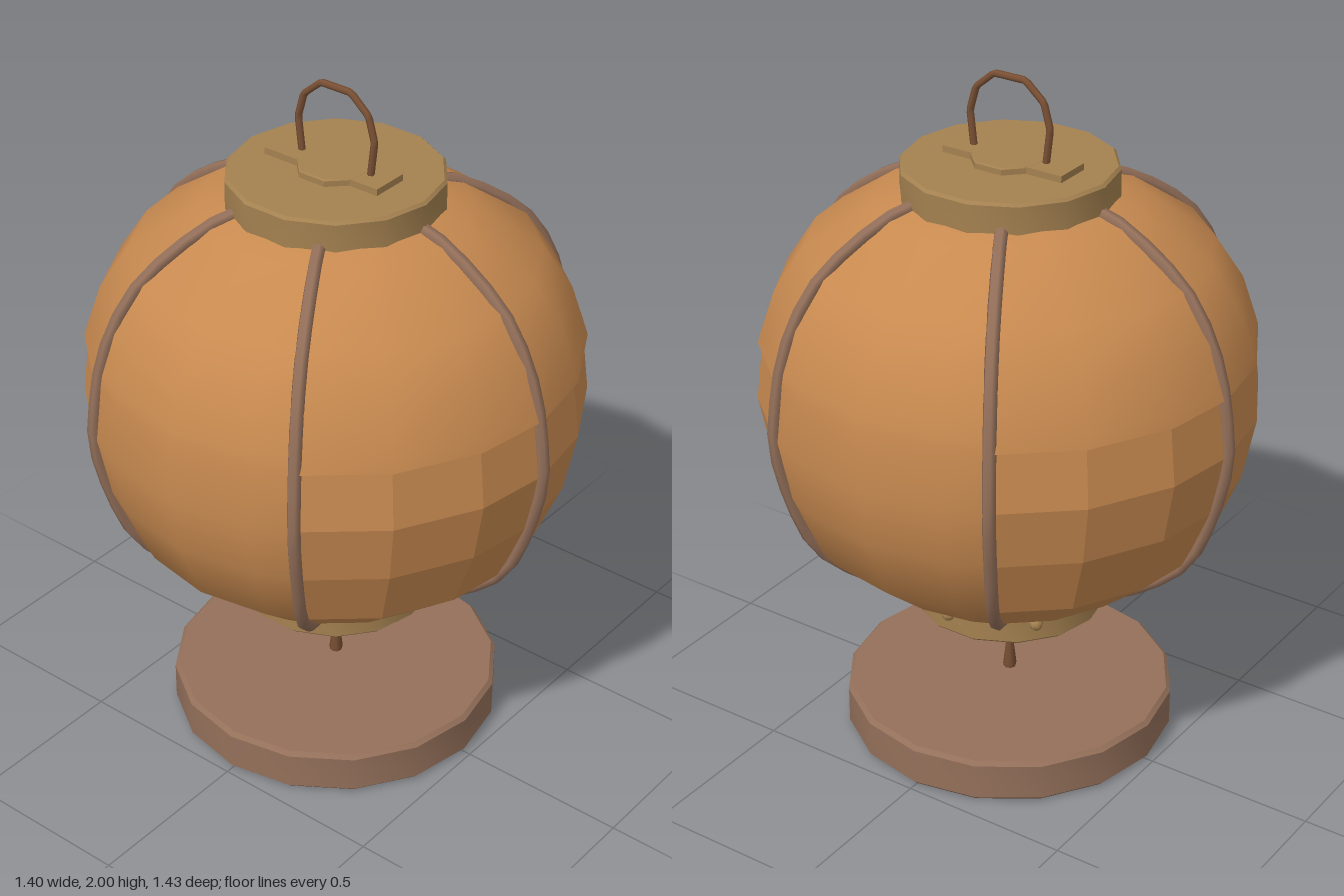
import * as THREE from 'three';
import { toCreasedNormals } from 'three/addons/utils/BufferGeometryUtils.js';

const rad = THREE.MathUtils.degToRad;

export function createModel() {
  const group = new THREE.Group();
  group.name = 'paperLantern';
  const mat = (name, color, side = THREE.FrontSide) => {
    const m = new THREE.MeshStandardMaterial({ color, side });
    m.name = name;
    return m;
  };
  const paper = mat('amber paper', 0xc88a50, THREE.DoubleSide);
  const brass = mat('dull brass', 0xa48150);
  const wood = mat('brown wood', 0x94705a);
  const cord = mat('dark cord', 0x7a5034);

  const add = (name, geo, m, x = 0, y = 0, z = 0) => {
    const mesh = new THREE.Mesh(geo, m);
    mesh.name = name;
    mesh.position.set(x, y, z);
    group.add(mesh);
    return mesh;
  };

  // Disc with a small bevel on both rims
  const disc = (r, y0, y1, sides, b = 0.008) => {
    const pts = [[0, y0], [r - b, y0], [r, y0 + b], [r, y1 - b], [r - b, y1], [0, y1]];
    const geo = new THREE.LatheGeometry(pts.map(p => new THREE.Vector2(...p)), sides);
    return toCreasedNormals(geo, 0.7);
  };

  // Curved sheet: a [radius, height] profile swept through a list of angles
  const sheet = (profile, angles, crease) => {
    const pos = [], idx = [], n = profile.length;
    angles.forEach((deg, i) => {
      const a = rad(deg);
      profile.forEach(([r, y], j) => {
        pos.push(r * Math.cos(a), y, r * Math.sin(a));
        if (i && j) {
          const d = i * n + j, c = d - 1, b = d - n, e = b - 1;
          idx.push(e, b, c, c, b, d);
        }
      });
    });
    const geo = new THREE.BufferGeometry();
    geo.setAttribute('position', new THREE.Float32BufferAttribute(pos, 3));
    geo.setIndex(idx);
    return toCreasedNormals(geo, crease);
  };

  // Globe profile from the collar to the cap
  const lower = [[0.27, 0.48], [0.42, 0.56], [0.585, 0.7], [0.665, 0.89], [0.7, 1.07], [0.68, 1.24]];
  const upper = [[0.675, 1.27], [0.635, 1.39], [0.55, 1.52], [0.36, 1.65], [0.26, 1.68]];
  const whole = [...lower, ...upper];
  const flap = [[0.68, 1.238], [0.692, 1.24], ...upper.map(([r, y]) => [r + 0.008, y])];

  // Plain panels on the sides; quilted panels with an overlapping flap front and back
  for (const start of [-30, 150]) {
    add('sidePanel', sheet(whole, [0, 10, 30, 50, 60].map(a => a + start), 0.8), paper);
  }
  for (const start of [30, 90, 210, 270]) {
    const steps = start % 180 === 30 ? [0, 21, 42, 60] : [0, 18, 39, 60];
    const angles = steps.map(a => a + start);
    add('quiltedPanel', sheet(lower, angles, 0.15), paper);
    add('upperFlap', sheet(flap, angles, 0.8), paper);
  }

  // Six ribs following the globe
  for (let i = 0; i < 6; i++) {
    const a = rad(30 + i * 60);
    const path = new THREE.CatmullRomCurve3(
      whole.map(([r, y]) => new THREE.Vector3(r * Math.cos(a), y, r * Math.sin(a))));
    add('rib', new THREE.TubeGeometry(path, 18, 0.019, 6), wood);
  }

  // Cap with its raised plate
  add('cap', disc(0.3, 1.66, 1.755, 14), brass);
  add('capBoss', disc(0.11, 1.75, 1.775, 8, 0.004), brass).rotation.y = Math.PI / 8;
  add('capPlate', new THREE.BoxGeometry(0.11, 0.022, 0.38), brass, 0, 1.763, -0.01);

  // Wire handle
  const arch = [[0.115, 1.76], [0.128, 1.87], [0.108, 1.94], [0.05, 1.99]];
  const wire = [...arch, ...arch.map(([z, y]) => [-z, y]).reverse()];
  const path = new THREE.CurvePath();
  for (let i = 1; i < wire.length; i++) {
    path.add(new THREE.LineCurve3(
      new THREE.Vector3(0, wire[i - 1][1], wire[i - 1][0]),
      new THREE.Vector3(0, wire[i][1], wire[i][0])));
  }
  add('handle', new THREE.TubeGeometry(path, 42, 0.01, 6), cord);

  // Bottom collar and its rivets
  add('collar', disc(0.28, 0.4, 0.5, 14), brass);
  for (const deg of [45, 5, -50, 185, 230, 270]) {
    const a = rad(deg);
    add('rivet', new THREE.SphereGeometry(0.02, 8, 6), brass, 0.274 * Math.cos(a), 0.46, 0.274 * Math.sin(a));
  }

  // Hanging pull cord with a flared end
  const pull = [[0, 0.145], [0.018, 0.145], [0.02, 0.155], [0.009, 0.25], [0.008, 0.41]];
  add('pullCord', toCreasedNormals(
    new THREE.LatheGeometry(pull.map(p => new THREE.Vector2(...p)), 8), 0.9), cord);

  // Round base
  add('base', disc(0.48, 0, 0.13, 16, 0.012), wood);

  return group;
}
